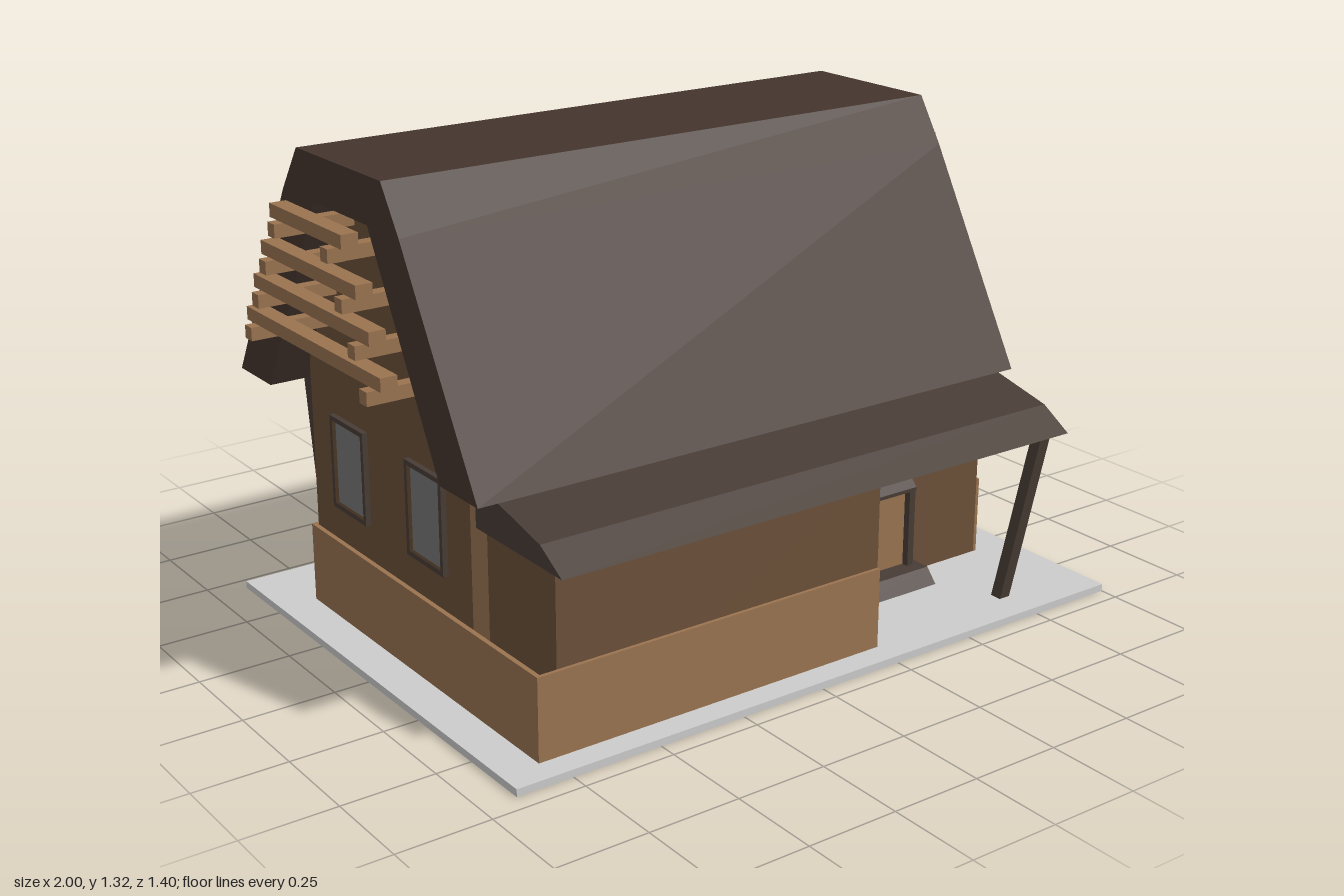
import * as THREE from 'three';

const mat = (color) => new THREE.MeshStandardMaterial({ color, flatShading: true });

export function createModel() {
  const house = new THREE.Group();
  const grey = mat(0xcccccc), wall = mat(0x6b5038), plank = mat(0x9a7350);
  const roofing = mat(0x44352d), timber = mat(0x483c35), glass = mat(0x777777);

  const add = (name, geometry, material, parent = house) => {
    const mesh = new THREE.Mesh(geometry, material);
    mesh.name = name;
    parent.add(mesh);
    return mesh;
  };

  // Box given by its limits on each axis
  const block = (name, [x0, x1], [y0, y1], [z0, z1], material, parent) => {
    const g = new THREE.BoxGeometry(x1 - x0, y1 - y0, z1 - z0);
    g.translate((x0 + x1) / 2, (y0 + y1) / 2, (z0 + z1) / 2);
    return add(name, g, material, parent);
  };

  // Outline of [z, y] points extruded along x
  const prism = (name, points, [x0, x1], material, parent, hole) => {
    const toVectors = (list) => list.map(([z, y]) => new THREE.Vector2(-z, y));
    const shape = new THREE.Shape(toVectors(points));
    if (hole) shape.holes.push(new THREE.Path(toVectors(hole)));
    const g = new THREE.ExtrudeGeometry(shape, { depth: x1 - x0, bevelEnabled: false });
    g.rotateY(Math.PI / 2).translate(x0, 0, 0);
    return add(name, g, material, parent);
  };

  // Leaning post: a square section sheared between two centres
  const post = (name, bottom, top, size) => {
    const g = new THREE.BoxGeometry(size, 1, size);
    const p = g.attributes.position;
    for (let i = 0; i < p.count; i++) {
      const t = p.getY(i) + 0.5;
      p.setXYZ(i,
        p.getX(i) + bottom[0] + (top[0] - bottom[0]) * t,
        bottom[1] + (top[1] - bottom[1]) * t,
        p.getZ(i) + bottom[2] + (top[2] - bottom[2]) * t);
    }
    g.computeVertexNormals();
    add(name, g, timber);
  };

  // Ground slab
  block('groundSlab', [-0.905, 1], [0, 0.02], [-0.7, 0.7], grey);

  // Main body with its gables, and the lower extension on the left end
  prism('mainBody', [[0.325, 0.02], [0.325, 0.71], [0.064, 1.195], [-0.207, 1.195],
    [-0.475, 0.71], [-0.475, 0.02]], [-0.785, 0.69], wall);
  block('endExtension', [0.69, 0.87], [0.02, 0.62], [-0.475, 0.325], wall);
  const cap = new THREE.Shape([new THREE.Vector2(0.69, 0.62), new THREE.Vector2(0.87, 0.62),
    new THREE.Vector2(0.69, 0.71)]);
  const capGeometry = new THREE.ExtrudeGeometry(cap, { depth: 0.8, bevelEnabled: false });
  add('extensionRoof', capGeometry.translate(0, 0, -0.475), timber);

  // Front wing beside the porch
  block('frontWing', [-0.74, 0.24], [0.02, 0.51], [0.32, 0.62], wall);

  // Thin cladding around the foot of the walls
  const low = [0.02, 0.24];
  block('frontCladding', [-0.8, 0.24], low, [0.62, 0.63], plank);
  block('rightCladding', [-0.8, -0.787], low, [-0.485, 0.63], plank);
  block('backCladding', [-0.8, 0.88], low, [-0.485, -0.475], plank);
  block('leftCladding', [0.87, 0.88], low, [-0.485, 0.325], plank);

  // Main roof shell, open below
  prism('mainRoof', [[0.53, 0.645], [0.214, 1.2], [0.137, 1.32], [-0.284, 1.32], [-0.368, 1.2],
    [-0.68, 0.645], [-0.508, 0.645], [-0.207, 1.2], [0.064, 1.2], [0.362, 0.645]],
  [-0.885, 0.775], roofing);

  // Porch roof over the wing and the door
  prism('porchRoof', [[0.32, 0.5], [0.695, 0.5], [0.605, 0.555], [0.32, 0.621]],
    [-0.77, 0.83], timber);

  // Leaning posts
  post('porchPost', [0.72, 0.02, 0.588], [0.78, 0.505, 0.65], 0.034);
  for (const x of [-0.7, -0.02, 0.66]) {
    post('backPost', [x, 0.02, -0.544], [x, 0.65, -0.634], 0.041);
  }

  // Windows on the end walls
  const rect = (z, y, w, h) => [[z - w / 2, y - h / 2], [z + w / 2, y - h / 2],
    [z + w / 2, y + h / 2], [z - w / 2, y + h / 2]];
  const makeWindow = (x, side, y, z) => {
    const group = new THREE.Group();
    group.name = 'window';
    const span = (a, b) => (side > 0 ? [x + a, x + b] : [x - b, x - a]);
    prism('windowFrame', rect(z, y, 0.176, 0.254), span(-0.01, 0.015), timber, group,
      rect(z, y, 0.15, 0.228));
    prism('windowPane', rect(z, y, 0.15, 0.228), span(-0.01, 0.005), glass, group);
    house.add(group);
  };
  for (const z of [0.126, -0.262]) {
    makeWindow(0.87, 1, 0.43, z);
    makeWindow(-0.785, -1, 0.465, z);
  }
  makeWindow(0.69, 1, 0.953, -0.075);

  // Front door with frame, lintel, step and two handles
  const door = new THREE.Group();
  door.name = 'door';
  house.add(door);
  block('doorLeaf', [0.365, 0.585], [0.06, 0.285], [0.32, 0.34], plank, door);
  for (const x of [0.345, 0.585]) {
    block('doorJamb', [x, x + 0.02], [0.02, 0.285], [0.32, 0.36], timber, door);
  }
  prism('doorLintel', [[0.32, 0.28], [0.36, 0.28], [0.36, 0.29], [0.325, 0.325], [0.32, 0.325]],
    [0.342, 0.608], timber, door);
  prism('doorStep', [[0.32, 0.02], [0.43, 0.02], [0.395, 0.06], [0.32, 0.06]],
    [0.322, 0.628], timber, door);
  for (const x of [0.466, 0.484]) {
    block('doorHandle', [x - 0.003, x + 0.003], [0.135, 0.158], [0.34, 0.348], timber, door);
  }

  // Protruding beams: pairs of [y, front z, back z], with cross beams laid on top
  const levels = [[0.845, 0.225, -0.372], [0.943, 0.178, -0.32],
    [1.041, 0.124, -0.267], [1.147, 0.064, -0.207]];
  const r = 0.0175;
  levels.forEach(([y, zFront, zBack], i) => {
    for (const z of [zFront, zBack]) {
      block('leftBeam', [0.65, 0.895], [y - r, y + r], [z - r, z + r], plank);
      block('rightBeam', [-1, -0.75], [y - r, y + r], [z - r, z + r], plank);
    }
    const across = [zBack - 0.055, zFront + 0.04];
    block('rightCrossBeam', [-0.975, -0.93], [y + r, y + 3 * r], across, plank);
    if (i === 3) block('leftCrossBeam', [0.818, 0.865], [y + r, y + 3 * r], across, plank);
  });

  return house;
}
